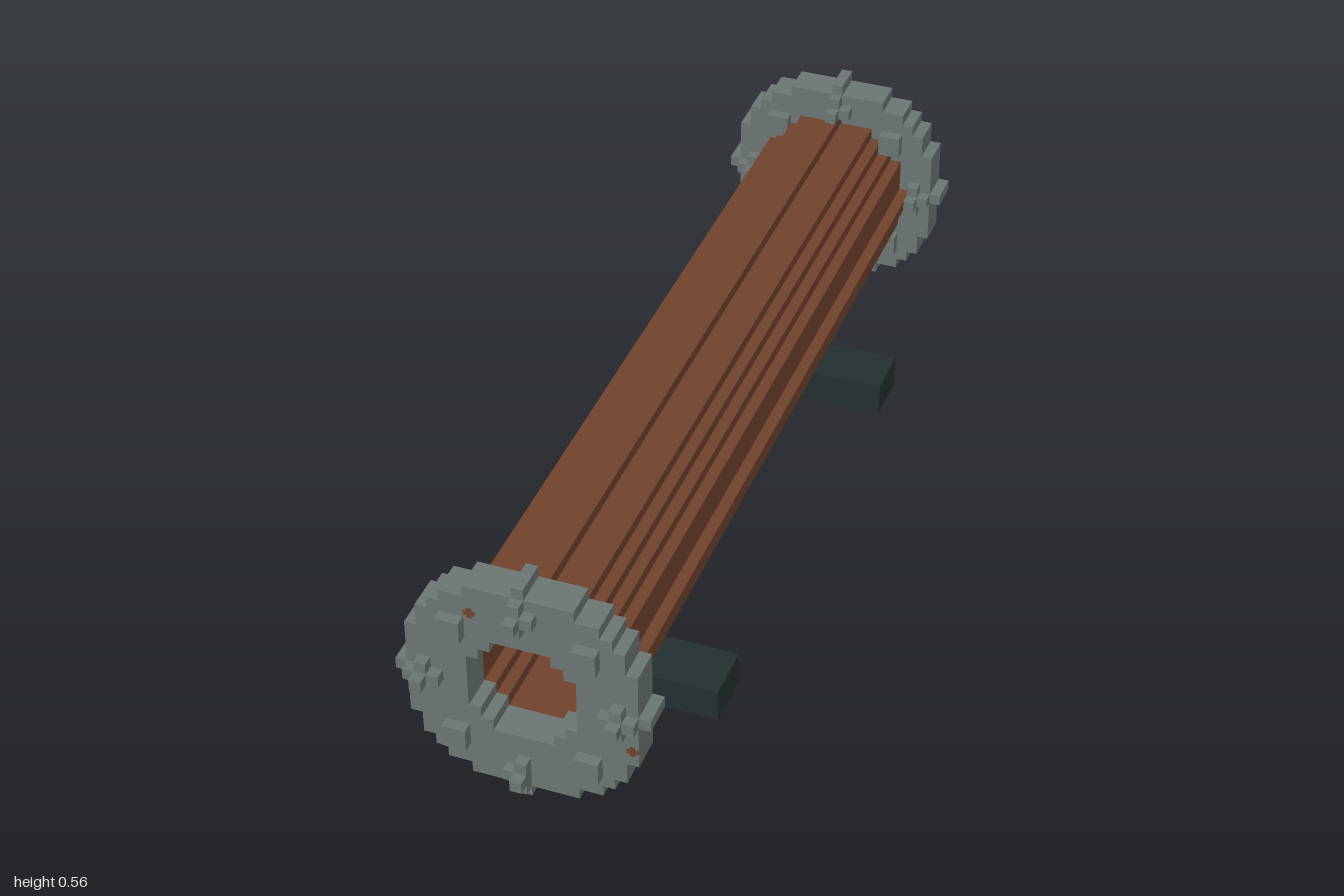
import * as THREE from 'three';

const V = 2 / 82;   // one block
const CY = 12.5;    // barrel axis height, in blocks

function material(name, color) {
  const m = new THREE.MeshStandardMaterial({ color });
  m.name = name;
  return m;
}

// Stair-stepped circle made of unit blocks whose centres satisfy x² + y² <= r2
function blockCircle(r2) {
  const R = Math.floor(Math.sqrt(r2));
  const half = (k) => Math.floor(Math.sqrt(r2 - k * k)) + 0.5;
  const right = [];
  for (let k = -R; k <= R; k++) {
    right.push([half(k), k - 0.5], [half(k), k + 0.5]);
  }
  // Drop points inside straight runs
  const corners = right.filter((p, i) => {
    const a = right[i - 1], b = right[i + 1];
    if (!a || !b) return true;
    if (p[0] === a[0] && p[1] === a[1]) return false;
    return !(a[0] === p[0] && b[0] === p[0]);
  });
  const left = corners.map(([x, y]) => [-x, y]).reverse();
  return [...corners, ...left].map(([x, y]) => new THREE.Vector2(x, y));
}

// Hollow blocky cylinder from z0 to z1
function blockRing(outer2, inner2, z0, z1) {
  const shape = new THREE.Shape(blockCircle(outer2));
  shape.holes.push(new THREE.Path(blockCircle(inner2)));
  const geo = new THREE.ExtrudeGeometry(shape, { depth: z1 - z0, bevelEnabled: false });
  return geo.translate(0, CY, z0).scale(V, V, V);
}

export function createModel() {
  const iron = material('iron grey', 0x6b7672);
  const wood = material('rust brown', 0x70432d);
  const footDark = material('dark slate', 0x232f2f);
  const postGrey = material('slate grey', 0x465150);

  const model = new THREE.Group();
  model.name = 'pipe';

  const add = (parent, name, geo, mat) => {
    const mesh = new THREE.Mesh(geo, mat);
    mesh.name = name;
    parent.add(mesh);
    return mesh;
  };
  // Box given by its limits in blocks
  const box = (parent, name, mat, x0, x1, y0, y1, z0, z1) => {
    const geo = new THREE.BoxGeometry((x1 - x0) * V, (y1 - y0) * V, (z1 - z0) * V);
    geo.translate((x0 + x1) / 2 * V, (y0 + y1) / 2 * V, (z0 + z1) / 2 * V);
    return add(parent, name, geo, mat);
  };
  // Thin cross-shaped rust fleck facing along z
  const fleck = (parent, x, y, z) => {
    const g = new THREE.Group();
    g.name = 'rustFleck';
    parent.add(g);
    box(g, 'fleckBar', wood, x - 0.45, x + 0.45, y - 0.2, y + 0.2, z - 0.1, z + 0.1);
    box(g, 'fleckUpright', wood, x - 0.2, x + 0.2, y - 0.45, y + 0.45, z - 0.09, z + 0.09);
  };

  // Barrel
  add(model, 'barrel', blockRing(49, 24, -38, 36), wood);

  // Flanges with bolts on their front faces
  // Each bolt: centre, then the arms present
  const bolts = [
    [0, 8, [[0, 1], [0, -1], [1, 0]]],
    [0, -8, [[0, 1], [0, -1], [-1, 0]]],
    [8, 0, [[0, 1], [0, -1], [1, 0], [-1, 0]]],
    [-8, 0, [[0, 1], [1, 0], [-1, 0]]],
  ];
  for (const [name, z] of [['frontFlange', 36], ['backFlange', -41]]) {
    const flange = new THREE.Group();
    flange.name = name;
    model.add(flange);
    add(flange, 'flangeRing', blockRing(100, 24, z, z + 3), iron);
    const f = z + 3;
    for (const [x, by, arms] of bolts) {
      const y = by + CY;
      box(flange, 'boltHead', iron, x - 0.5, x + 0.5, y - 0.5, y + 0.5, f, f + 2);
      for (const [dx, dy] of arms) {
        box(flange, 'boltArm', iron, x + dx - 0.5, x + dx + 0.5, y + dy - 0.5, y + dy + 0.5, f, f + 1);
      }
    }
    for (const sx of [-1, 1]) for (const sy of [-1, 1]) {
      const x = sx * 5.5, y = CY + sy * 5.5;
      box(flange, 'squareStud', iron, x - 1, x + 1, y - 1, y + 1, f, f + 1);
    }
  }
  fleck(model, -4, CY + 7, 39);
  fleck(model, 9, CY - 3, 39);

  // Supports: wide foot and a short post cradling the barrel
  for (const [name, z] of [['frontSupport', 19], ['backSupport', -25]]) {
    const support = new THREE.Group();
    support.name = name;
    model.add(support);
    box(support, 'foot', footDark, -10.5, 10.5, 0, 3, z, z + 5);
    box(support, 'post', postGrey, -3.53, 3.53, 3, 7, z + 1, z + 4);
  }
  return model;
}
